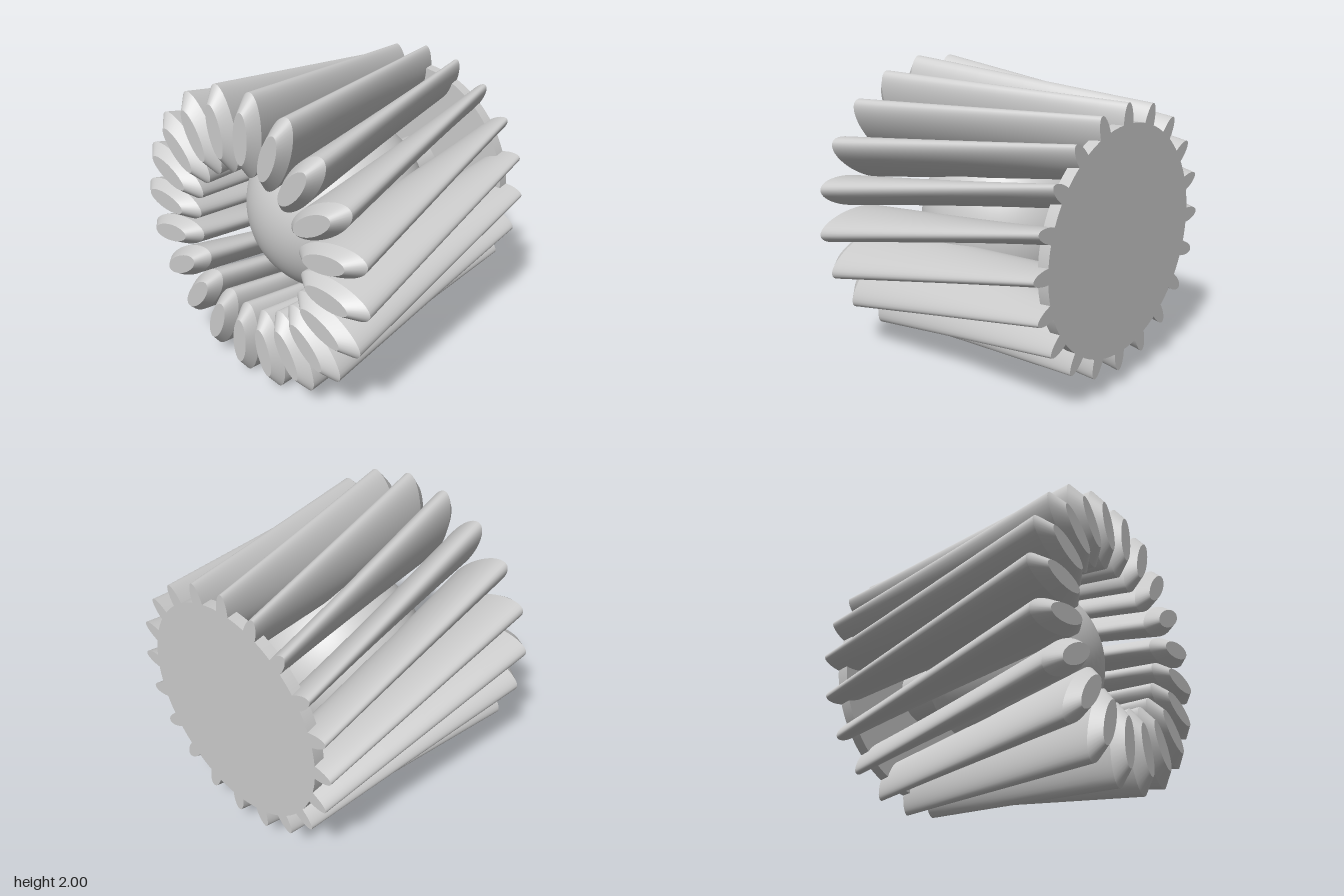
import * as THREE from 'three';

const material = new THREE.MeshStandardMaterial({ color: 0xcccccc });
const SIDES = 40, FINS = 20, CENTRE = 0.73;
const FRONT = 0.885, SHOULDER = 0.81, BACK = -0.885;

// Elliptical fin section: long axis radial, turned about z by angle
function section(radial, across, angle, z) {
  const points = [];
  for (let i = 0; i <= SIDES; i++) {
    const t = (i / SIDES) * Math.PI * 2;
    const r = CENTRE + radial * Math.cos(t), s = across * Math.sin(t);
    points.push(new THREE.Vector3(
      r * Math.cos(angle) - s * Math.sin(angle),
      r * Math.sin(angle) + s * Math.cos(angle), z));
  }
  return points;
}

// Smooth skin through sections ordered from back to front
function skin(sections) {
  const n = SIDES + 1, index = [];
  for (let k = 0; k < sections.length - 1; k++) {
    for (let i = 0; i < SIDES; i++) {
      const a = k * n + i, b = a + 1, c = a + n, d = c + 1;
      index.push(a, b, d, a, d, c);
    }
  }
  const geometry = new THREE.BufferGeometry().setFromPoints(sections.flat());
  geometry.setIndex(index);
  geometry.computeVertexNormals();
  // Share the normal along the seam
  const normals = geometry.attributes.normal;
  for (let k = 0; k < sections.length; k++) {
    const a = new THREE.Vector3().fromBufferAttribute(normals, k * n);
    a.add(new THREE.Vector3().fromBufferAttribute(normals, k * n + SIDES)).normalize();
    normals.setXYZ(k * n, a.x, a.y, a.z);
    normals.setXYZ(k * n + SIDES, a.x, a.y, a.z);
  }
  return geometry;
}

// Flat end of a fin
function cap(points, facesFront) {
  const index = [];
  for (let i = 1; i < SIDES - 1; i++) {
    index.push(0, ...(facesFront ? [i, i + 1] : [i + 1, i]));
  }
  const geometry = new THREE.BufferGeometry().setFromPoints(points);
  geometry.setIndex(index);
  geometry.computeVertexNormals();
  return geometry;
}

function add(parent, name, geometry) {
  const mesh = new THREE.Mesh(geometry, material);
  mesh.name = name;
  parent.add(mesh);
  return mesh;
}

export function createModel() {
  const model = new THREE.Group();
  model.name = 'finnedRotor';
  const body = new THREE.Group();
  body.name = 'body';
  body.position.y = 1;
  model.add(body);

  // Fin: straight ruled loft from a small back ellipse to a larger front one
  const start = THREE.MathUtils.degToRad(-4.5), end = THREE.MathUtils.degToRad(18);
  const back = section(0.138, 0.05, end, BACK);
  const shoulder = section(0.272, 0.102, start, SHOULDER);
  const tip = section(0.167, 0.06, start, FRONT);
  const loft = [];
  for (let k = 0; k <= 10; k++) {
    loft.push(back.map((p, i) => p.clone().lerp(shoulder[i], k / 10)));
  }
  const parts = {
    finBlade: skin(loft),
    finBevel: skin([shoulder, tip]),
    finFrontFace: cap(tip, true),
    finBackFace: cap(back, false),
  };

  // Ring of fins
  for (let i = 0; i < FINS; i++) {
    const fin = new THREE.Group();
    fin.name = 'fin' + (i + 1);
    fin.rotation.z = (i / FINS) * Math.PI * 2;
    for (const [name, geometry] of Object.entries(parts)) add(fin, name, geometry);
    body.add(fin);
  }

  // Back plate
  const plate = add(body, 'backPlate', new THREE.CylinderGeometry(0.74, 0.74, 0.075, 96));
  plate.rotation.x = Math.PI / 2;
  plate.position.z = BACK + 0.0375;

  // Central ball on its shaft
  const ball = add(body, 'centreBall', new THREE.SphereGeometry(0.6, 64, 40));
  ball.position.z = 0.03;
  const shaft = add(body, 'shaft', new THREE.CylinderGeometry(0.2, 0.2, 0.5, 48));
  shaft.rotation.x = Math.PI / 2;
  shaft.position.z = -0.6;

  return model;
}
